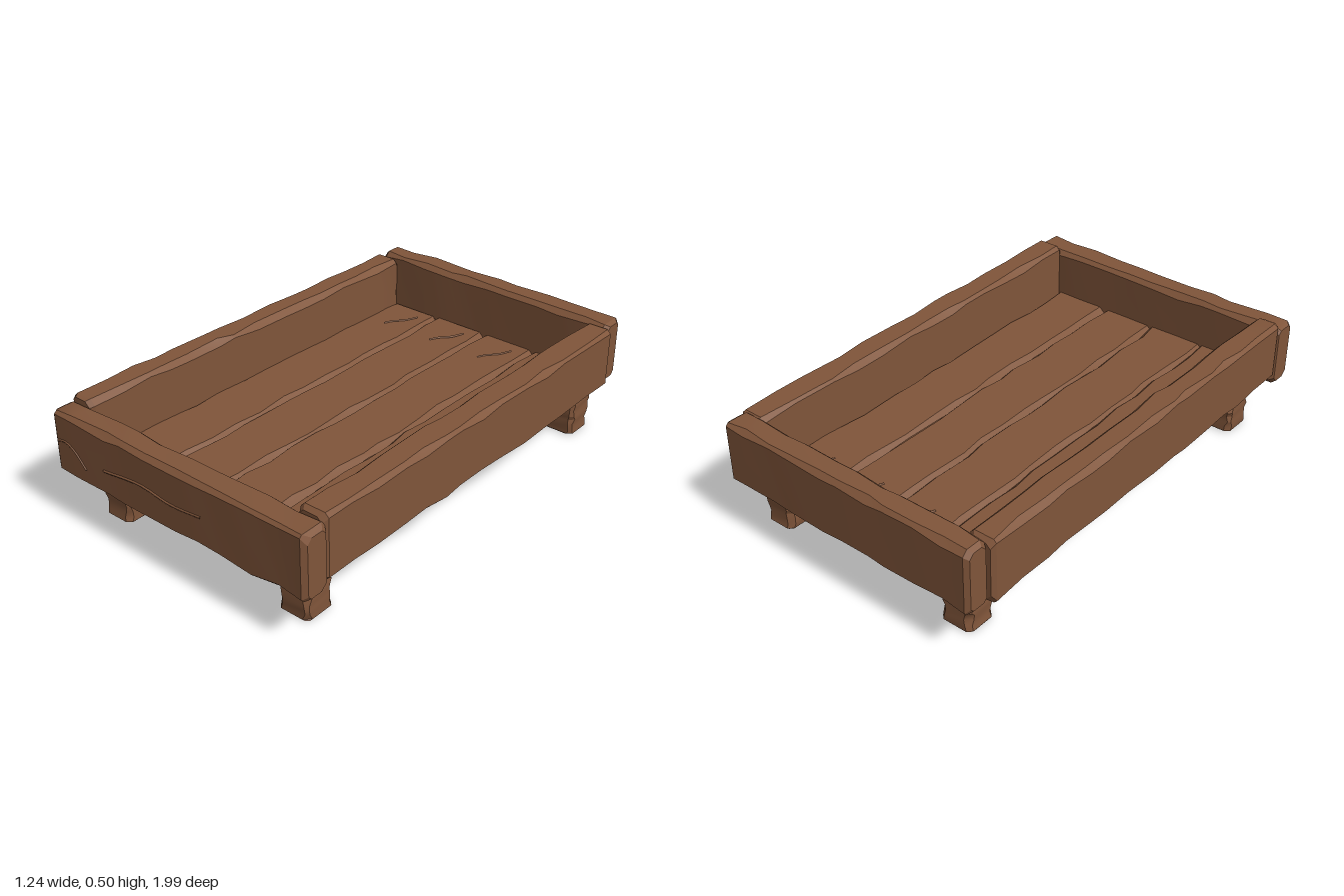
import * as THREE from 'three';
import { toCreasedNormals } from 'three/addons/utils/BufferGeometryUtils.js';

const wood = new THREE.MeshStandardMaterial({ color: 0x80553a });

// Small seeded generator, 0..1
let seed = 7;
const rand = () => (seed = (seed * 16807) % 2147483647) / 2147483647;

// Worn timber lofted along an axis (0 x, 1 y, 2 z) through eight-sided rings.
// c0, c1: end centres; w, h: section size along the next two axes in turn.
function beam(name, axis, c0, c1, w, h, { bevel = 0.018, rings = 12, wobble = 0.003, endBevel = bevel } = {}) {
  const u = (axis + 1) % 3, v = (axis + 2) % 3;
  const length = c1[axis] - c0[axis];
  const ts = [0];
  for (let i = 0; i <= rings; i++) {
    const jitter = i > 0 && i < rings ? (rand() - 0.5) * 0.5 : 0;
    ts.push((endBevel + (length - 2 * endBevel) * (i + jitter) / rings) / length);
  }
  ts.push(1);

  const pos = [], index = [];
  const put = (t, a, b) => {
    const p = c0.map((c, k) => c + (c1[k] - c) * t);
    p[u] += a;
    p[v] += b;
    pos.push(...p);
  };
  ts.forEach((t, i) => {
    const inset = i === 0 || i === ts.length - 1 ? endBevel * 0.7 : 0;
    const a = w / 2 - inset, b = h / 2 - inset;
    const wear = () => bevel * (0.55 + 0.9 * rand());
    const n = () => (rand() - 0.5) * 2 * wobble;
    // Each corner is cut by its own amount; each face moves a little as a whole
    const [r, l, top, bot] = [a + n(), -a + n(), b + n(), -b + n()];
    const [k1, k2, k3, k4] = [wear(), wear(), wear(), wear()];
    [[r, bot + k1], [r, top - k2], [r - k2, top], [l + k3, top],
      [l, top - k3], [l, bot + k4], [l + k4, bot], [r - k1, bot]].forEach(([x, y]) => put(t, x, y));
  });
  for (let i = 0; i < ts.length - 1; i++) {
    for (let j = 0; j < 8; j++) {
      const p = i * 8 + j, q = i * 8 + (j + 1) % 8;
      index.push(p, q, q + 8, p, q + 8, p + 8);
    }
  }
  // End caps
  const last = (ts.length - 1) * 8, mid = ts.length * 8;
  put(0, 0, 0);
  put(1, 0, 0);
  for (let j = 0; j < 8; j++) {
    const k = (j + 1) % 8;
    index.push(mid, k, j, mid + 1, last + j, last + k);
  }
  const g = new THREE.BufferGeometry();
  g.setAttribute('position', new THREE.Float32BufferAttribute(pos, 3));
  g.setIndex(index);
  const mesh = new THREE.Mesh(toCreasedNormals(g, 0.45), wood);
  mesh.name = name;
  return mesh;
}

// Thin grain line, half sunk into the surface
function grain(points) {
  const curve = new THREE.CatmullRomCurve3(points.map(p => new THREE.Vector3(...p)));
  const mesh = new THREE.Mesh(new THREE.TubeGeometry(curve, 12, 0.005, 6), wood);
  mesh.name = 'woodGrain';
  return mesh;
}

export function createModel() {
  const group = new THREE.Group();
  group.name = 'plankBed';

  // End boards, each set slightly askew
  group.add(
    beam('frontBoard', 0, [-0.622, 0.336, 0.922], [0.622, 0.343, 0.932], 0.266, 0.116, { rings: 10 }),
    beam('backBoard', 0, [-0.584, 0.343, -0.945], [0.592, 0.343, -0.933], 0.268, 0.108, { rings: 10 }),
  );

  // Side boards, lower toward the back
  group.add(
    beam('rightBoard', 2, [-0.546, 0.334, -0.893], [-0.565, 0.365, 0.885], 0.112, 0.264, { rings: 14 }),
    beam('leftBoard', 2, [0.555, 0.334, -0.893], [0.557, 0.365, 0.885], 0.12, 0.264, { rings: 14 }),
  );

  // Thick floor planks tucked under the sides, with a short grain mark near the back
  const floor = new THREE.Group();
  floor.name = 'floor';
  [-0.385, -0.132, 0.122, 0.378].forEach(x => {
    floor.add(beam('floorPlank', 2, [x, 0.202, -0.9], [x - 0.006, 0.225, 0.9], 0.262, 0.092,
      { bevel: 0.02, rings: 14, wobble: 0.002 }));
    floor.add(grain([[x + 0.06, 0.249, -0.82], [x + 0.035, 0.25, -0.76], [x, 0.25, -0.72], [x - 0.02, 0.25, -0.68]]));
  });
  group.add(floor);

  // Grain on the front board
  group.add(
    grain([[-0.6, 0.345, 0.98], [-0.56, 0.355, 0.98], [-0.51, 0.335, 0.981], [-0.45, 0.275, 0.981]]),
    grain([[-0.35, 0.315, 0.982], [-0.15, 0.34, 0.984], [0, 0.325, 0.985], [0.15, 0.34, 0.986]]),
  );

  // Rough-hewn legs
  [[-0.452, 0.795], [0.442, 0.795], [-0.416, -0.815], [0.478, -0.815]].forEach(([x, z]) => {
    group.add(beam('leg', 1, [x, 0, z], [x, 0.205, z], 0.136, 0.136,
      { bevel: 0.018, rings: 9, wobble: 0.003, endBevel: 0.004 }));
  });
  return group;
}
